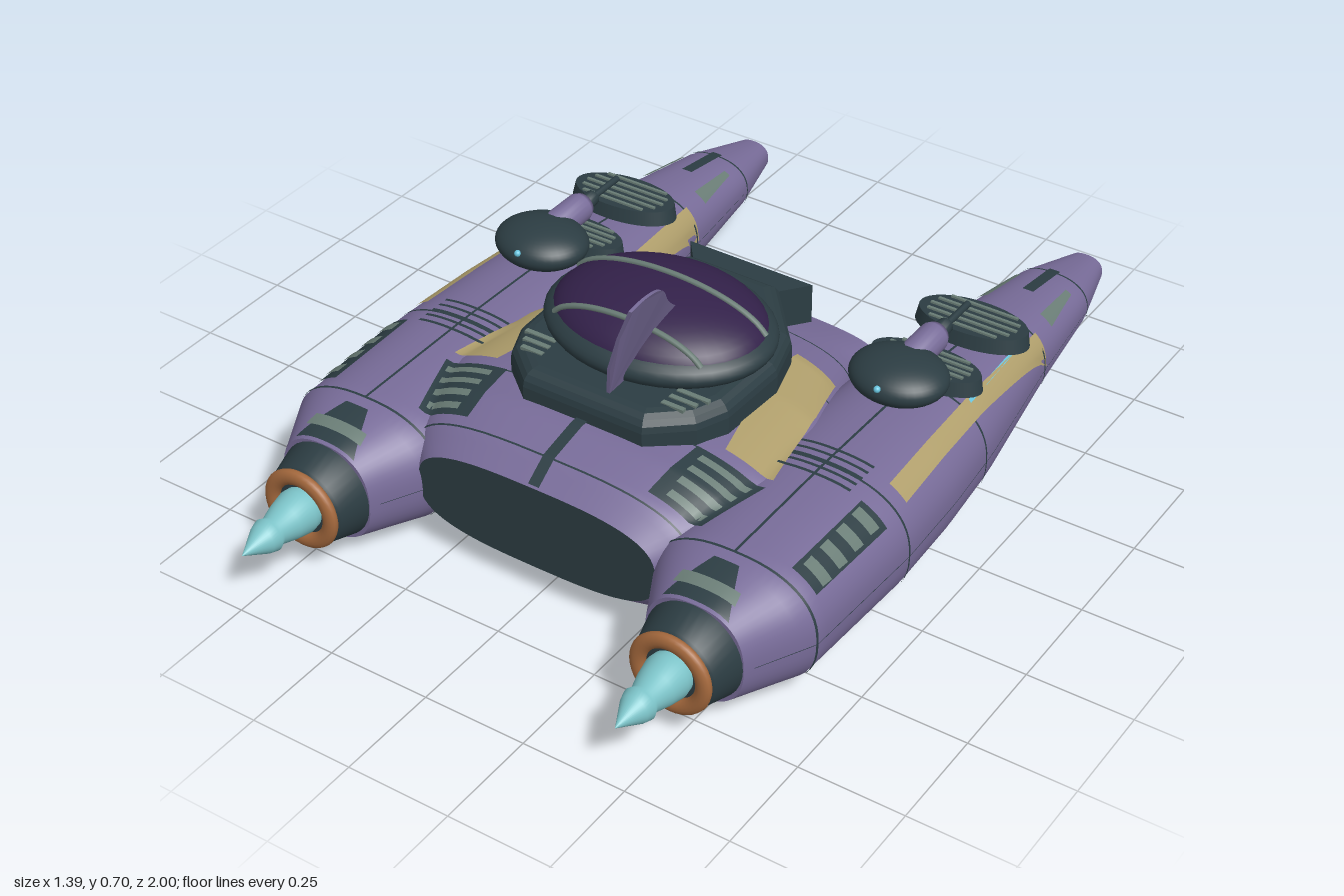
import * as THREE from 'three';
import { mergeVertices } from 'three/addons/utils/BufferGeometryUtils.js';

const paint = (name, color) => Object.assign(new THREE.MeshStandardMaterial({ color }), { name });

// Lofted bodies: z, half width, centre y, half height
const POD = { cx: 0.48, n: 2.4, rows: [
  [-1, 0.045, 0.137, 0.037], [-0.82, 0.095, 0.15, 0.07], [-0.54, 0.13, 0.155, 0.107], [-0.2, 0.183, 0.155, 0.145],
  [0, 0.202, 0.155, 0.153], [0.22, 0.212, 0.157, 0.156], [0.57, 0.2, 0.16, 0.15], [0.72, 0.12, 0.157, 0.12]] };
const HULL = { cx: 0, n: 3, rows: [
  [-0.31, 0.29, 0.205, 0.045], [-0.21, 0.3, 0.2, 0.09], [-0.05, 0.36, 0.19, 0.155], [0.1, 0.43, 0.185, 0.17],
  [0.33, 0.46, 0.182, 0.176], [0.45, 0.42, 0.182, 0.174], [0.55, 0.365, 0.182, 0.152], [0.61, 0.31, 0.185, 0.107]] };

function section(body, z) {
  const r = body.rows;
  let i = 0;
  while (i < r.length - 2 && z > r[i + 1][0]) i++;
  const t = THREE.MathUtils.clamp((z - r[i][0]) / (r[i + 1][0] - r[i][0]), 0, 1);
  return r[i].map((v, k) => v + (r[i + 1][k] - v) * t);
}

function rim(body, z, a, grow = 0) {
  const [, hw, cy, hy] = section(body, z);
  const p = (v) => Math.sign(v) * Math.abs(v) ** (2 / body.n);
  return [(hw + grow) * p(Math.cos(a)), cy + (hy + grow) * p(Math.sin(a)), z];
}

// Surface from a rule; its front is the side of du x dv
function grid(fn, nu, nv) {
  const pos = [], idx = [];
  for (let j = 0; j <= nv; j++) for (let i = 0; i <= nu; i++) pos.push(...fn(i / nu, j / nv));
  for (let j = 0; j < nv; j++) for (let i = 0; i < nu; i++) {
    const a = j * (nu + 1) + i, c = a + nu + 1;
    idx.push(a, a + 1, c, a + 1, c + 1, c);
  }
  let g = new THREE.BufferGeometry();
  g.setAttribute('position', new THREE.Float32BufferAttribute(pos, 3));
  g.setIndex(idx);
  g = mergeVertices(g, 1e-5);
  g.computeVertexNormals();
  return g;
}

function loft(body, z0, z1, grow = 0, a0 = -Math.PI / 2, a1 = Math.PI * 1.5, nv = 46) {
  const nu = a1 - a0 > 1 ? 56 : 2;
  return grid((u, v) => rim(body, z0 + (z1 - z0) * v, a0 + (a1 - a0) * u, grow), nu, nv);
}

function endCap(body, z, back) {
  const pts = [];
  for (let i = 0; i < 56; i++) pts.push(new THREE.Vector2(...rim(body, z, i / 56 * Math.PI * 2).slice(0, 2)));
  const g = new THREE.ShapeGeometry(new THREE.Shape(pts));
  if (back) g.rotateY(Math.PI);
  return g.translate(0, 0, z);
}

// Height of the upper skin
function deckY(x, z) {
  const top = (body) => {
    const [, hw, cy, hy] = section(body, z);
    return cy + hy * Math.max(0, 1 - (Math.abs(Math.abs(x) - body.cx) / hw) ** body.n) ** (1 / body.n);
  };
  return Math.max(top(POD), z > -0.31 && z < 0.61 ? top(HULL) : 0);
}

// Painted plate on the upper skin: x range at z0, x range at z1
function plate(s, z0, [a0, b0], z1, [a1, b1], lift = 0.005) {
  return grid((u, v) => {
    const w = s > 0 ? v : 1 - v;
    const x = s * THREE.MathUtils.lerp(a0 + (b0 - a0) * w, a1 + (b1 - a1) * w, u);
    const z = z0 + (z1 - z0) * u;
    return [x, deckY(x, z) + lift, z];
  }, 20, 8);
}

function planShape(half) {
  return new THREE.Shape([...half.map(([x, z]) => new THREE.Vector2(x, z)),
    ...half.slice().reverse().map(([x, z]) => new THREE.Vector2(-x, z))]);
}

export function createModel() {
  const purple = paint('purple hull', 0x786c99), dark = paint('dark metal', 0x2c3d43);
  const glass = paint('violet glass', 0x33214a), tan = paint('tan panel', 0xb09f6c);
  const copper = paint('copper', 0xa5693d), cyan = paint('cyan cone', 0x7cc3c8);
  const grey = paint('grey trim', 0x6a7d76), glow = paint('cyan stripe', 0x68c4de);
  const model = new THREE.Group();
  const add = (name, geo, mat, x = 0, y = 0, z = 0, parent = model) => {
    const m = new THREE.Mesh(geo, mat);
    m.name = name;
    m.position.set(x, y, z);
    parent.add(m);
    return m;
  };
  const ball = (rx, ry, rz) => new THREE.SphereGeometry(1, 40, 24).scale(rx, ry, rz);

  // Central hull with front intake and rear face
  add('hull', loft(HULL, -0.31, 0.61), purple);
  add('frontIntake', endCap(HULL, 0.61), dark);
  add('hullRearFace', endCap(HULL, -0.31, true), dark);
  for (const z of [-0.16, 0, 0.18, 0.36, 0.55]) add('hullSeam', loft(HULL, z - 0.002, z + 0.002, 0.002, undefined, undefined, 1), dark);
  for (const a of [-Math.PI / 2]) add('keelStripe', loft(HULL, -0.31, 0.61, 0.003, a - 0.006, a + 0.006), dark);
  add('foreStripe', plate(1, 0.42, [-0.014, 0.014], 0.608, [-0.014, 0.014]), dark);
  add('aftHatch', plate(1, -0.305, [-0.03, 0.03], -0.23, [-0.03, 0.03]), dark);

  // Cabin base, rear block and canopy
  const base = planShape([[0.1, -0.13], [0.21, 0], [0.24, 0.1], [0.235, 0.27], [0.21, 0.33], [0.14, 0.39]]);
  add('cabinBase', new THREE.ExtrudeGeometry(base, { depth: 0.04, bevelThickness: 0.04, bevelSize: 0.04, bevelSegments: 4 })
    .rotateX(Math.PI / 2), dark, 0, 0.385, 0);
  const block = planShape([[0.165, -0.235], [0.11, -0.165], [0.11, -0.1]]);
  add('cabinRearBlock', new THREE.ExtrudeGeometry(block, { depth: 0.1, bevelEnabled: false }).rotateX(Math.PI / 2), dark, 0, 0.395, 0);
  add('canopyBowl', ball(0.275, 0.07, 0.218), dark, 0, 0.445, 0.13);
  add('canopyGlass', ball(0.258, 0.095, 0.2), glass, 0, 0.453, 0.13);
  for (const d of [-0.04, 0.13]) {
    const k = Math.sqrt(1 - (d / 0.2) ** 2), pts = [];
    for (let i = 0; i <= 12; i++) {
      const a = 0.25 + (Math.PI - 0.5) * i / 12;
      pts.push(new THREE.Vector3(0.26 * k * Math.cos(a), 0.453 + 0.097 * k * Math.sin(a), 0.13 + d));
    }
    add('canopyRib', new THREE.TubeGeometry(new THREE.CatmullRomCurve3(pts), 32, 0.007, 8), grey);
  }

  // Leaning curved fin
  const finShape = new THREE.Shape();
  finShape.moveTo(0.39, 0.42);
  finShape.lineTo(0.405, 0.5);
  finShape.lineTo(0.42, 0.6);
  finShape.lineTo(0.432, 0.69);
  finShape.quadraticCurveTo(0.41, 0.705, 0.37, 0.698);
  finShape.quadraticCurveTo(0.31, 0.69, 0.26, 0.62);
  finShape.quadraticCurveTo(0.21, 0.56, 0.15, 0.52);
  finShape.lineTo(0.15, 0.45);
  const fin = new THREE.ExtrudeGeometry(finShape, { depth: 0.008, bevelEnabled: false, curveSegments: 8 }).rotateY(-Math.PI / 2);
  const fp = fin.attributes.position;
  for (let i = 0; i < fp.count; i++) {
    const t = Math.max(0, (fp.getY(i) - 0.44) / 0.26);
    fp.setX(i, fp.getX(i) + 0.045 + 0.095 * t ** 1.3);
  }
  fin.computeVertexNormals();
  add('fin', fin, purple);

  const turn = (pts, seg = 36) => new THREE.LatheGeometry(pts.map(([r, z]) => new THREE.Vector2(r, z)), seg).rotateX(Math.PI / 2);
  for (const s of [1, -1]) {
    const x = s * POD.cx;
    const pod = new THREE.Group();
    pod.name = s > 0 ? 'leftPod' : 'rightPod';
    pod.position.x = x;
    model.add(pod);
    const part = (name, geo, mat, px = 0, y = 0, z = 0) => add(name, geo, mat, px, y, z, pod);

    // Pod body, seams and ends
    part('podBody', loft(POD, -1, 0.72), purple);
    part('podFrontFace', endCap(POD, 0.72), purple);
    part('podTail', endCap(POD, -1, true), dark);
    for (const z of [-0.82, -0.54, -0.16, 0.22, 0.57]) part('podSeam', loft(POD, z - 0.003, z + 0.003, 0.002, undefined, undefined, 1), dark);
    for (const a of [0, Math.PI]) part('podSideSeam', loft(POD, -0.8, 0.7, 0.002, a - 0.002, a + 0.002), dark);

    // Nose: neck, copper ring, spike
    part('noseNeck', turn([[0.115, 0.66], [0.118, 0.72], [0.098, 0.79], [0.06, 0.8], [0, 0.8]]), dark, 0, 0.157);
    part('noseRing', new THREE.TorusGeometry(0.08, 0.019, 14, 40).scale(1, 1, 0.7), copper, 0, 0.157, 0.805);
    part('noseSpike', turn([[0.05, 0.79], [0.054, 0.82], [0.046, 0.86], [0.034, 0.9], [0.04, 0.915], [0.034, 0.935], [0, 1]]), cyan, 0, 0.157);

    // Turret with gun
    part('turretDome', ball(0.115, 0.052, 0.1), dark, 0, 0.363, -0.085);
    part('turretLight', ball(0.008, 0.008, 0.008), glow, 0, 0.38, 0.01);
    part('gunBody', turn([[0, -0.25], [0.03, -0.25], [0.036, -0.235], [0.036, -0.13], [0, -0.12]], 20), purple, 0, 0.376);
    part('gunCollar', turn([[0, -0.295], [0.018, -0.29], [0.022, -0.25], [0, -0.245]], 16), dark, 0, 0.376);
    part('gunBarrel', turn([[0, -0.39], [0.008, -0.39], [0.008, -0.28], [0, -0.28]], 12), dark, 0, 0.376);

    // Slatted discs
    for (const [z, y, hz] of [[-0.205, 0.312, 0.07], [-0.42, 0.303, 0.082]]) {
      const disc = part('ventDisc', new THREE.CylinderGeometry(0.95, 1, 0.035, 40).scale(0.142, 1, hz), dark, 0, y, z);
      disc.rotation.x = -0.1;
      for (let i = -2; i <= 2; i++) {
        const w = 0.22 * Math.sqrt(1 - (i / 3.2) ** 2);
        add('discSlat', new THREE.BoxGeometry(w, 0.006, 0.008), grey, 0, 0.019, i * hz * 0.32, disc);
      }
    }

    // Painted plates on pod and deck
    const deco = (name, mat, ...p) => add(name, plate(s, ...p), mat);
    deco('outerTanStripe', tan, -0.55, [0.575, 0.61], 0.18, [0.615, 0.658]);
    deco('innerTanStripe', tan, -0.55, [0.35, 0.388], -0.17, [0.305, 0.345]);
    deco('deckTanPanelAft', tan, -0.07, [0.23, 0.33], 0.08, [0.24, 0.372]);
    deco('deckTanPanelFore', tan, 0.08, [0.24, 0.372], 0.33, [0.3, 0.42]);
    deco('topSeam', dark, -0.35, [0.477, 0.483], 0.57, [0.477, 0.483], 0.003);
    deco('tailStripe', dark, -0.83, [0.466, 0.494], -0.69, [0.466, 0.494]);
    deco('tailPatch', grey, -0.77, [0.54, 0.555], -0.62, [0.55, 0.582]);
    deco('tailPatchInner', grey, -0.77, [0.405, 0.42], -0.62, [0.378, 0.41]);
    deco('noseCrest', dark, 0.6, [0.45, 0.51], 0.715, [0.4, 0.56]);
    deco('noseBand', grey, 0.655, [0.41, 0.55], 0.685, [0.405, 0.555], 0.009);
    for (let i = 0; i < 5; i++) deco('podSlat', dark, 0.165 + i * 0.024, [0.39, 0.57], 0.173 + i * 0.024, [0.39, 0.57]);

    // Side vents and deck vents
    deco('podVent', dark, 0.27, [0.6, 0.664], 0.535, [0.595, 0.655]);
    deco('deckVent', dark, 0.36, [0.25, 0.42], 0.525, [0.235, 0.37]);
    for (let i = 0; i < 4; i++) {
      const z = 0.29 + i * 0.063, d = 0.38 + i * 0.038;
      deco('podVentSlat', grey, z, [0.607, 0.657], z + 0.032, [0.607, 0.655], 0.009);
      deco('deckVentSlat', grey, d, [0.275, 0.4 - i * 0.012], d + 0.018, [0.272, 0.395 - i * 0.012], 0.009);
      if (i < 3) add('cabinVentSlat', new THREE.BoxGeometry(0.08 - i * 0.012, 0.008, 0.012), grey, s * (0.2 - i * 0.008), 0.424, 0.3 + i * 0.027);
    }

    // Glowing line along the outer flank
    const a = s > 0 ? 0.92 : Math.PI - 0.92;
    part('flankGlow', loft(POD, -0.45, -0.13, 0.004, a - 0.03, a + 0.03), glow);
  }
  return model;
}
